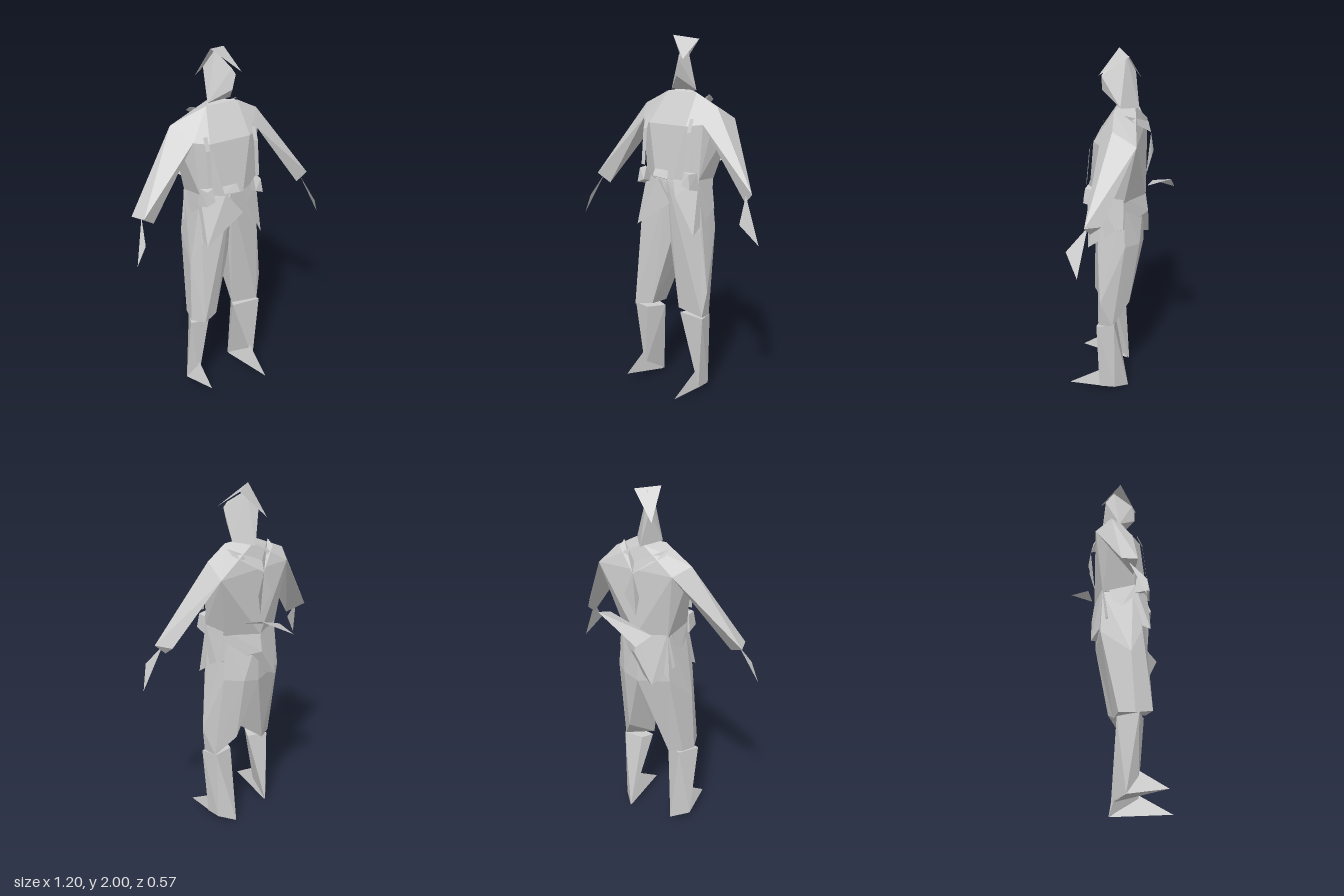
import * as THREE from 'three';
import { ConvexGeometry } from 'three/addons/geometries/ConvexGeometry.js';

export function createModel() {
  const model = new THREE.Group();
  model.name = 'figure';
  const grey = new THREE.MeshStandardMaterial({ color: 0xcccccc, flatShading: true, side: THREE.DoubleSide });
  grey.name = 'plainGrey';

  const add = (name, geometry) => {
    const mesh = new THREE.Mesh(geometry, grey);
    mesh.name = name;
    model.add(mesh);
  };
  // Solid faceted part spanned by its corner points
  const solid = (name, pts) => add(name, new ConvexGeometry(pts.map((p) => new THREE.Vector3(...p))));
  // Thin open surface made from triangles
  const sheet = (name, tris) => {
    const g = new THREE.BufferGeometry();
    g.setAttribute('position', new THREE.Float32BufferAttribute(tris.flat(2), 3));
    g.computeVertexNormals();
    add(name, g);
  };
  // Flat band of a given width following a path
  const band = (name, path, width) => {
    const tris = [];
    for (let i = 0; i + 1 < path.length; i++) {
      const [a, b] = [path[i], path[i + 1]];
      const [c, d] = [a, b].map(([x, y, z]) => [x + width, y, z]);
      tris.push([a, b, d], [a, d, c]);
    }
    sheet(name, tris);
  };

  // Head and folded hat
  solid('head', [[0, 1.975, -0.03], [0.035, 1.9, 0.08], [0.05, 1.87, 0.095], [0.03, 1.79, 0.095],
    [-0.045, 1.88, -0.075], [-0.07, 1.71, 0.01], [0.085, 1.71, -0.01], [0, 1.69, -0.1]]);
  const ridgeA = [-0.055, 2.0, 0.015], ridgeB = [0.07, 1.98, -0.055];
  sheet('hat', [[ridgeA, [0.08, 1.88, 0.105], ridgeB], [ridgeA, ridgeB, [-0.078, 1.83, -0.105]]]);

  // Torso
  solid('torso', [[-0.085, 1.7, 0.02], [0.11, 1.7, 0.02], [0, 1.715, -0.02], [0, 1.7, -0.08],
    [-0.28, 1.615, -0.025], [0.24, 1.63, 0.01], [-0.22, 1.57, -0.12], [0.265, 1.56, -0.12],
    [-0.205, 1.54, 0.09], [0.2, 1.54, 0.085], [-0.13, 1.53, 0.13], [0.12, 1.53, 0.13],
    [-0.06, 1.23, 0.165], [0.06, 1.23, 0.165], [-0.175, 1.24, 0.1], [0.185, 1.24, 0.1],
    [-0.17, 1.2, -0.08], [0.17, 1.2, -0.04], [0, 1.2, -0.14]]);

  // Arms, with thin hands
  solid('rightArm', [[-0.28, 1.615, -0.025], [-0.22, 1.57, -0.12], [-0.205, 1.545, 0.09],
    [-0.56, 1.19, 0.045], [-0.53, 1.2, 0.13], [-0.46, 1.145, 0.1]]);
  solid('leftArm', [[0.24, 1.63, 0.01], [0.265, 1.56, -0.12], [0.2, 1.54, 0.085],
    [0.535, 1.21, 0.11], [0.48, 1.2, 0.03], [0.48, 1.155, 0.09]]);
  sheet('rightHand', [[[-0.52, 1.19, 0.08], [-0.6, 0.96, 0.17], [-0.55, 1.07, 0.175]]]);
  sheet('leftHand', [[[0.49, 1.2, 0.1], [0.6, 0.955, 0.14], [0.525, 1.07, 0.21]]]);

  // Trousers
  solid('leftTrouserLeg', [[0, 1.22, 0.14], [0.18, 1.22, 0.09], [0.17, 1.2, -0.04], [0, 1.2, -0.13],
    [0, 0.87, 0.11], [0, 0.92, -0.13], [0.2, 0.94, 0.1], [0.19, 0.95, -0.05], [0.1, 0.94, -0.12],
    [0.235, 0.61, 0.085], [0.11, 0.57, -0.065], [0.04, 0.48, 0.09], [0.21, 0.46, 0.1], [0.2, 0.45, 0.02]]);
  solid('rightTrouserLeg', [[0, 1.22, 0.14], [-0.17, 1.22, 0.09], [-0.17, 1.2, -0.08], [0, 1.2, -0.13],
    [0, 0.87, 0.11], [0, 0.92, -0.13], [-0.19, 0.96, 0.14], [-0.19, 0.95, -0.09],
    [-0.23, 0.81, 0.08], [-0.24, 0.46, 0.1], [-0.22, 0.47, 0.01], [-0.2, 0.48, 0.19],
    [-0.105, 0.49, 0.15], [-0.14, 0.46, -0.02]]);

  // Boots
  solid('leftBootShaft', [[0.05, 0.455, 0.09], [0.22, 0.455, 0.11], [0.2, 0.455, 0.01], [0.08, 0.455, 0.02],
    [0.19, 0.03, 0.1], [0.11, 0, -0.06], [0.19, 0.03, 0.01]]);
  solid('leftFoot', [[0.17, 0.13, 0.1], [0.16, 0.02, 0.285], [0.19, 0.03, 0.06], [0.11, 0, -0.055]]);
  solid('rightBootShaft', [[-0.255, 0.455, 0.12], [-0.09, 0.455, 0.05], [-0.2, 0.455, 0], [-0.15, 0.455, 0.14],
    [-0.25, 0.03, 0.05], [-0.165, 0.01, -0.03], [-0.2, 0.06, 0.11]]);
  solid('rightFoot', [[-0.2, 0.17, 0.1], [-0.205, 0.065, 0.265], [-0.25, 0.03, 0.05], [-0.165, 0.01, -0.02]]);

  // Jacket skirt: pointed tail and two front flaps
  solid('jacketTail', [[-0.17, 1.24, -0.08], [0.17, 1.24, -0.04], [0, 1.24, -0.135], [-0.2, 1.03, -0.05],
    [0.19, 1.06, -0.04], [-0.11, 0.93, -0.148], [0, 1.1, -0.155], [0.19, 1.05, 0]]);
  solid('leftJacketFlap', [[0.06, 1.24, 0.165], [0.185, 1.24, 0.1], [0.19, 0.94, 0.155], [0.08, 1.15, 0.175],
    [0.2, 1.05, 0], [0.18, 1.23, -0.04]]);
  solid('rightJacketFlap', [[-0.05, 1.24, 0.165], [-0.175, 1.24, 0.1], [-0.18, 0.96, 0.185], [0.05, 1.11, 0.18],
    [-0.19, 1.05, 0], [-0.17, 1.23, -0.05]]);

  // Harness straps meeting at the back, and belt pouches
  for (const s of [-1, 1]) {
    const side = s > 0 ? 'left' : 'right';
    const x = s * 0.15 - 0.012;
    band(side + 'ChestStrap', [[x, 1.3, 0.165], [x, 1.5, 0.145], [x, 1.57, 0.115]], 0.025);
    sheet(side + 'BackStrap', [
      [[s * 0.15, 1.69, -0.04], [s * 0.15, 1.66, -0.08], [0, 1.56, -0.165]],
      [[s * 0.15, 1.69, -0.04], [0, 1.56, -0.165], [0, 1.62, -0.15]],
      [[0, 1.56, -0.165], [s * 0.05, 1.44, -0.175], [0, 1.31, -0.14]]]);
    solid(side + 'Pouch', [[s * 0.18, 1.28, 0.11], [s * 0.13, 1.29, 0.16], [s * 0.17, 1.28, 0.17],
      [s * 0.18, 1.2, 0.18], [s * 0.13, 1.22, 0.185], [s * 0.19, 1.18, 0.1], [s * 0.13, 1.2, 0.1]]);
  }
  solid('beltBuckle', [[-0.07, 1.3, 0.15], [0.02, 1.29, 0.155], [0.03, 1.24, 0.18], [-0.07, 1.25, 0.18], [0, 1.23, 0.15]]);

  // Twisted plate behind the back
  const low = [-0.125, 1.235, -0.165], high = [0.14, 1.35, -0.29];
  sheet('backPlate', [[low, [0.155, 1.31, -0.165], high], [low, high, [-0.11, 1.21, -0.29]]]);

  return model;
}
